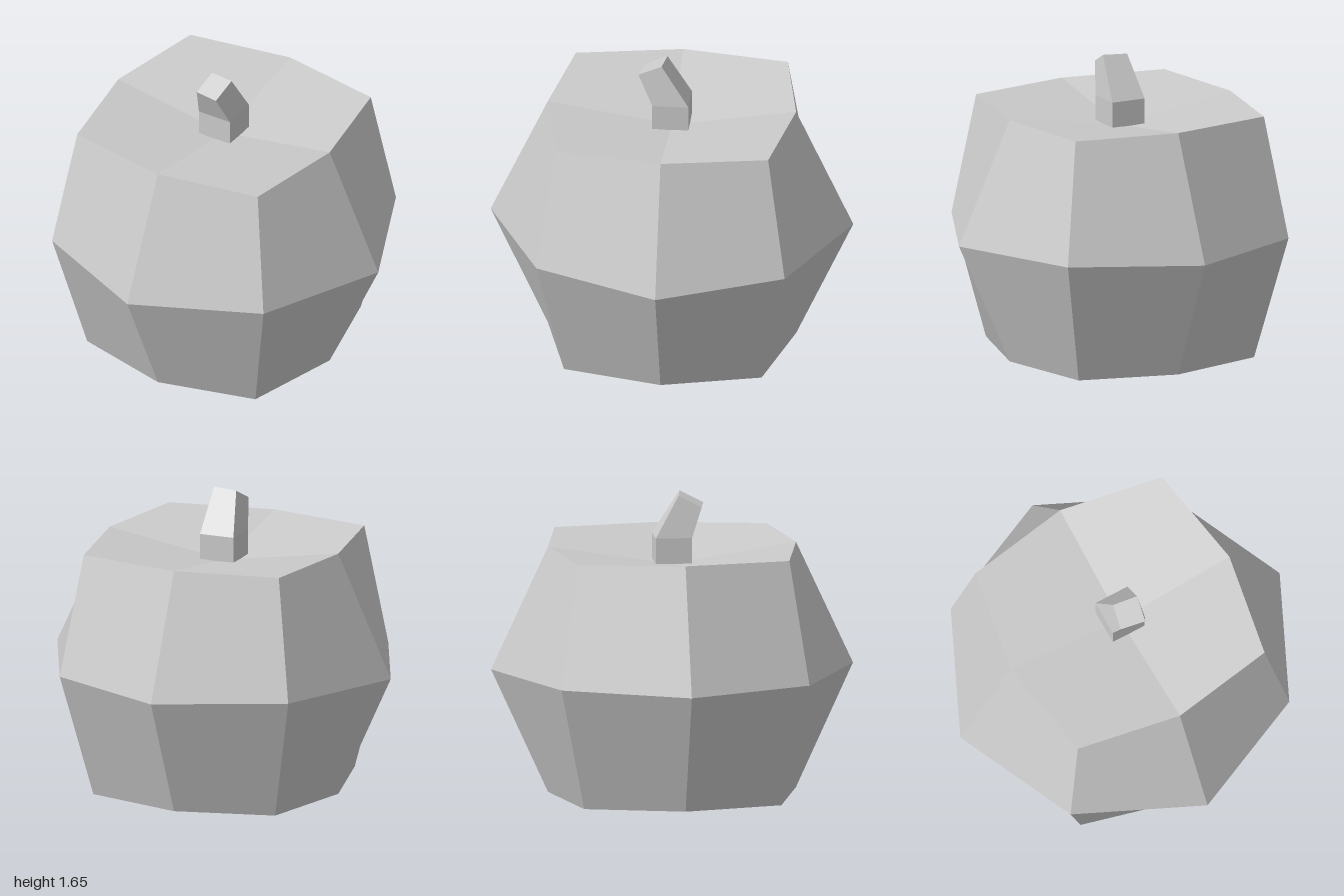
import * as THREE from 'three';

const material = new THREE.MeshStandardMaterial({ color: 0xcccccc });

// Faceted mesh from four-cornered faces; each face is shaded as one flat facet.
function facetMesh(name, quads) {
  const positions = [], normals = [];
  for (const [a, b, c, d] of quads) {
    const normal = c.clone().sub(a).cross(d.clone().sub(b)).normalize();
    for (const p of [a, b, c, a, c, d]) {
      positions.push(p.x, p.y, p.z);
      normals.push(normal.x, normal.y, normal.z);
    }
  }
  const geometry = new THREE.BufferGeometry();
  geometry.setAttribute('position', new THREE.Float32BufferAttribute(positions, 3));
  geometry.setAttribute('normal', new THREE.Float32BufferAttribute(normals, 3));
  const mesh = new THREE.Mesh(geometry, material);
  mesh.name = name;
  return mesh;
}

// Eight points, counter-clockwise from above: axis points alternate with corners.
function ring(y, axis, corner) {
  return Array.from({ length: 8 }, (_, k) => {
    const angle = (k * Math.PI) / 4;
    const radius = k % 2 ? corner * Math.SQRT2 : axis;
    return new THREE.Vector3(radius * Math.cos(angle), y, -radius * Math.sin(angle));
  });
}

// Walls joining two rings; flip(k) chooses which diagonal splits the face.
function walls(low, high, flip = () => false) {
  return low.map((a, k) => {
    const n = (k + 1) % low.length;
    const quad = [a, low[n], high[n], high[k]];
    return flip(k) ? [quad[1], quad[2], quad[3], quad[0]] : quad;
  });
}

// Four quarter faces sloping to a sunken centre.
function dimple(points, centreY, faceUp) {
  const centre = new THREE.Vector3(0, centreY, 0);
  return [0, 2, 4, 6].map((k) => {
    const [p, q, r] = [points[k], points[k + 1], points[(k + 2) % 8]];
    return faceUp ? [centre, p, q, r] : [centre, r, q, p];
  });
}

export function createModel() {
  const model = new THREE.Group();
  model.name = 'pumpkin';

  // Body: three rings with dimples above and below
  const bottom = ring(0, 0.685, 0.545);
  const middle = ring(0.69, 1, 0.685);
  const top = ring(1.37, 0.685, 0.585);
  model.add(facetMesh('body', [
    ...walls(bottom, middle, (k) => k % 2 === 1),
    ...walls(middle, top, (k) => k % 2 === 0),
    ...dimple(top, 1.26, true),
    ...dimple(bottom, 0.1, false),
  ]));

  // Stem: upright square base, then a bent and slightly twisted tip
  const square = (y) => [[0.1, 0.1], [0.1, -0.1], [-0.1, -0.1], [-0.1, 0.1]]
    .map(([x, z]) => new THREE.Vector3(x, y, z));
  const foot = square(1.25);
  const bend = square(1.42);
  const tip = [
    new THREE.Vector3(0.06, 1.59, 0.18),
    new THREE.Vector3(0.08, 1.655, 0.05),
    new THREE.Vector3(-0.06, 1.65, 0.03),
    new THREE.Vector3(-0.08, 1.585, 0.155),
  ];
  model.add(facetMesh('stem', [...walls(foot, bend), ...walls(bend, tip), tip]));

  return model;
}
